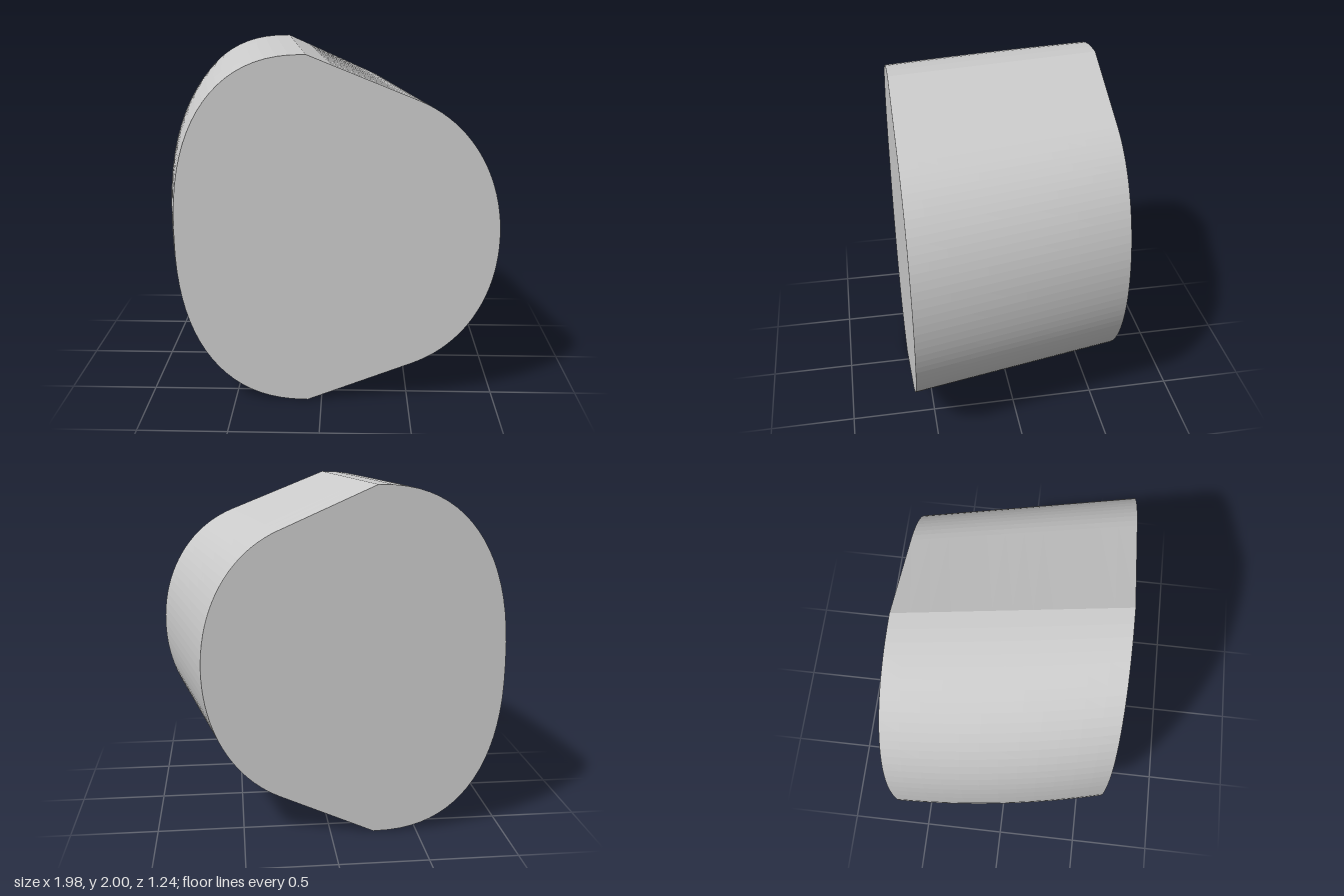
import * as THREE from 'three';

const HALF_DEPTH = 0.622, RINGS = 12, ARC = 20;
const FULLNESS = 2 / 2.38; // exponent that makes the rounded side fuller than an ellipse
const lerp = THREE.MathUtils.lerp;

// Closed outline at depth u (0 = back, 1 = front), counter-clockwise from the +x extreme
function outline(u) {
  const z = lerp(-HALF_DEPTH, HALF_DEPTH, u);
  const ridge = lerp(-0.25, -0.08, u);
  const right = lerp(0.72, 0.987, u);
  const shoulder = lerp(0.29, 0.52, u);
  const bulge = 0.742 + 0.15 * u * (1 - u);
  const h = 0.76;
  const slope = (1 - h) / (shoulder - ridge);
  const reach = (right - shoulder) * 0.62;
  // rounded nose, from the extreme up to the shoulder
  const nose = new THREE.CubicBezierCurve(
    new THREE.Vector2(right, 0), new THREE.Vector2(right, 0.35),
    new THREE.Vector2(shoulder + reach, h - slope * reach), new THREE.Vector2(shoulder, h));
  const half = nose.getPoints(ARC);
  // straight flank to the ridge, then the full rounded side
  for (let i = 0; i <= ARC; i++) {
    const a = Math.PI / 2 * i / ARC;
    const across = Math.sin(a) ** FULLNESS;
    const up = Math.max(0, Math.cos(a)) ** FULLNESS;
    half.push(new THREE.Vector2(ridge - bulge * across, up));
  }
  const lower = half.slice(1, -1).reverse().map(p => new THREE.Vector2(p.x, -p.y));
  return [...half, ...lower].map(p => new THREE.Vector3(p.x, p.y + 1, z));
}

function meshFrom(name, points) {
  const geometry = new THREE.BufferGeometry().setFromPoints(points);
  geometry.computeVertexNormals();
  const mesh = new THREE.Mesh(geometry,
    new THREE.MeshStandardMaterial({ color: 0xcccccc, flatShading: true }));
  mesh.name = name;
  return mesh;
}

// Flat end face as a fan around its middle
function cap(name, ring, front) {
  const centre = new THREE.Vector3(0, 1, ring[0].z), tris = [];
  ring.forEach((p, i) => {
    const q = ring[(i + 1) % ring.length];
    tris.push(centre, front ? p : q, front ? q : p);
  });
  return meshFrom(name, tris);
}

export function createModel() {
  const group = new THREE.Group();
  group.name = 'skewedBlock';
  const rings = Array.from({ length: RINGS + 1 }, (_, j) => outline(j / RINGS));

  // Wall lofted between the outlines
  const wall = [];
  for (let j = 0; j < RINGS; j++) {
    const back = rings[j], front = rings[j + 1];
    back.forEach((p, i) => {
      const k = (i + 1) % back.length;
      wall.push(p, back[k], front[k], p, front[k], front[i]);
    });
  }
  group.add(
    meshFrom('sideWall', wall),
    cap('backFace', rings[0], false),
    cap('frontFace', rings[RINGS], true));
  return group;
}
